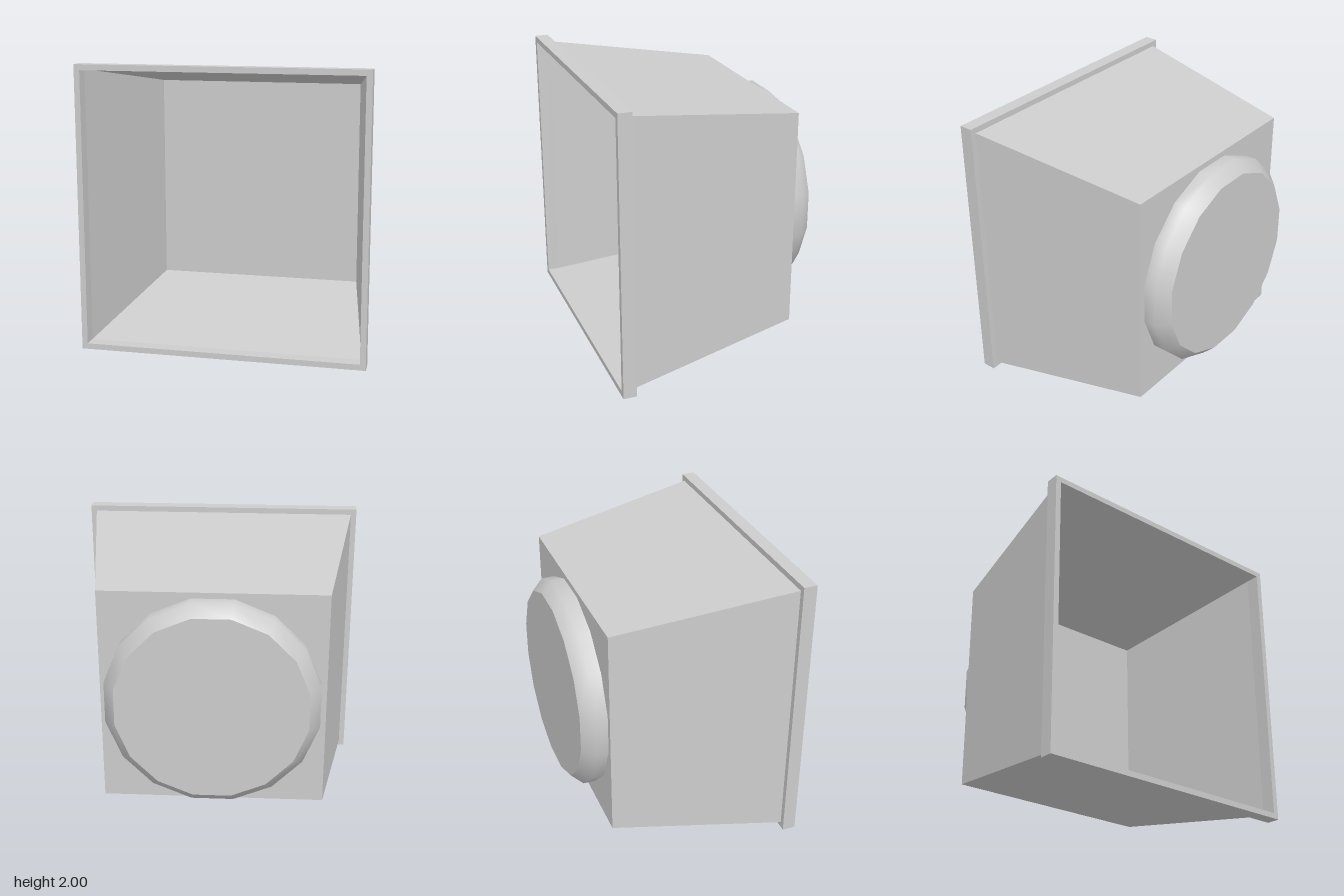
import * as THREE from 'three';

export function createModel() {
  const group = new THREE.Group();
  group.name = 'lampHousing';

  const grey = new THREE.MeshStandardMaterial({ color: 0xcccccc, side: THREE.DoubleSide });
  grey.name = 'light grey';

  const add = (name, geometry, z = 0) => {
    const mesh = new THREE.Mesh(geometry, grey);
    mesh.name = name;
    mesh.position.set(0, 1, z);
    group.add(mesh);
  };

  const FRONT = 0.75, FLANGE = 0.655, BACK = -0.58;
  const OPENING = 0.96, REAR = 0.777;

  // Square flange around the open front
  const square = (Type, h) => new Type([
    new THREE.Vector2(-h, -h), new THREE.Vector2(h, -h),
    new THREE.Vector2(h, h), new THREE.Vector2(-h, h),
  ]);
  const outline = square(THREE.Shape, 1);
  outline.holes.push(square(THREE.Path, OPENING));
  add('frontFlange', new THREE.ExtrudeGeometry(outline, { depth: FRONT - FLANGE, bevelEnabled: false }), FLANGE);

  // Thin tapered walls, narrowing towards the back
  const walls = new THREE.CylinderGeometry(
    REAR * Math.SQRT2, OPENING * Math.SQRT2, FLANGE - BACK, 4, 1, true
  ).rotateY(Math.PI / 4).rotateX(-Math.PI / 2).toNonIndexed();
  walls.computeVertexNormals();
  add('taperedWalls', walls, (FLANGE + BACK) / 2);

  // Flat back wall
  add('backWall', new THREE.PlaneGeometry(REAR * 2, REAR * 2).rotateY(Math.PI), BACK);

  // Round rear drum: smooth chamfered side and a flat cap
  const SIDES = 16, HALF = Math.PI / SIDES;
  const profile = [[0.75, 0], [0.75, 0.09], [0.673, 0.17]].map(p => new THREE.Vector2(...p));
  add('drumSide', new THREE.LatheGeometry(profile, SIDES, HALF).rotateX(-Math.PI / 2), BACK);
  add('drumCap', new THREE.CircleGeometry(0.673, SIDES, HALF).rotateY(Math.PI), BACK - 0.17);

  return group;
}
